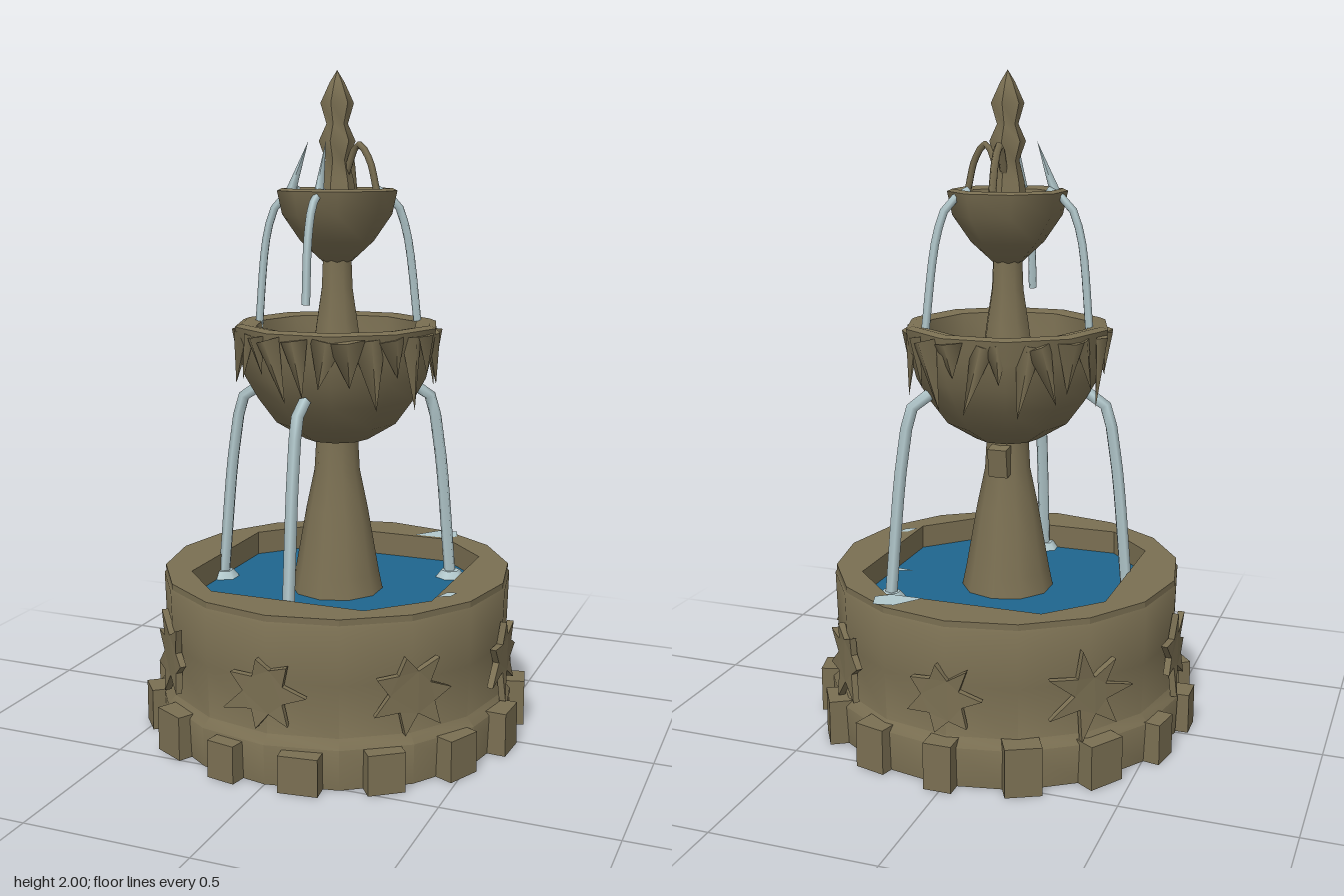
import * as THREE from 'three';
import { toCreasedNormals } from 'three/addons/utils/BufferGeometryUtils.js';

const mat = (name, color, side = THREE.FrontSide) => {
  const m = new THREE.MeshStandardMaterial({ color, side });
  m.name = name;
  return m;
};

export function createModel() {
  const stone = mat('stone', 0x7a6f52);
  const deep = mat('deep water', 0x1f668e);
  const pale = mat('pale water', 0x8cc9c3);
  const spray = mat('spray', 0xb3c9cd, THREE.DoubleSide);
  const model = new THREE.Group();

  let seed = 7;
  const rnd = (a, b) => {
    seed = (seed * 16807) % 2147483647;
    return a + (b - a) * (seed / 2147483647);
  };
  const add = (name, geo, material, parent = model) => {
    const m = new THREE.Mesh(geo, material);
    m.name = name;
    parent.add(m);
    return m;
  };
  const group = (name) => {
    const g = new THREE.Group();
    g.name = name;
    model.add(g);
    return g;
  };
  const lathe = (name, pts, sides, turn = 0) => {
    const g = new THREE.LatheGeometry(pts.map(([x, y]) => new THREE.Vector2(x, y)), sides);
    return add(name, toCreasedNormals(g.rotateY(turn), 0.85), stone);
  };
  const pool = (name, r, y, sides, turn, material) => {
    const g = new THREE.CircleGeometry(r, sides).rotateX(-Math.PI / 2).rotateY(turn);
    add(name, g.translate(0, y, 0), material);
  };

  // Lower basin: wall with hollow underside
  lathe('basinWall', [[0, 0.4], [0.14, 0.33], [0.42, 0.29], [0.43, 0], [0.55, 0],
    [0.555, 0.12], [0.53, 0.145], [0.535, 0.3], [0.54, 0.47], [0.525, 0.49]], 16);

  // Rim with an eight-cornered opening
  const rim = new THREE.Shape();
  for (let i = 0; i < 16; i++) {
    const a = (i / 16) * Math.PI * 2;
    rim[i ? 'lineTo' : 'moveTo'](Math.cos(a) * 0.535, Math.sin(a) * 0.535);
  }
  const hole = [[0.39, -0.24], [0.39, 0.24], [0.24, 0.395], [-0.24, 0.395],
    [-0.385, 0.24], [-0.385, -0.24], [-0.24, -0.395], [0.24, -0.395]];
  rim.holes.push(new THREE.Path(hole.map(([x, y]) => new THREE.Vector2(x, y))));
  add('basinRim', new THREE.ExtrudeGeometry(rim, { depth: 0.14, bevelEnabled: false })
    .rotateX(-Math.PI / 2).translate(0, 0.355, 0), stone);
  pool('basinWater', 0.47, 0.42, 16, 0, deep);

  // Rough stones around the foot
  const foot = group('footStones');
  for (let i = 0; i < 15; i++) {
    const a = (i / 15) * Math.PI * 2 + 0.2;
    const h = rnd(0.11, 0.15);
    const b = add('footStone', new THREE.BoxGeometry(rnd(0.08, 0.12), h, 0.09), stone, foot);
    b.position.set(Math.sin(a) * 0.545, h / 2, Math.cos(a) * 0.545);
    b.rotation.y = a + rnd(-0.2, 0.2);
  }

  // Ragged leaf ornaments on the basin wall
  const ornaments = group('wallOrnaments');
  for (let k = 0; k < 8; k++) {
    const a = (k / 8) * Math.PI * 2;
    const s = new THREE.Shape();
    for (let i = 0; i < 14; i++) {
      const t = (i / 14) * Math.PI * 2;
      const r = i % 2 ? rnd(0.05, 0.075) : rnd(0.1, 0.145);
      s[i ? 'lineTo' : 'moveTo'](Math.cos(t) * r, Math.sin(t) * r);
    }
    const g = new THREE.ExtrudeGeometry(s, { depth: 0.02, bevelEnabled: false });
    // Curl the outline around the wall, tips lifted
    const p = g.attributes.position;
    for (let i = 0; i < p.count; i++) {
      const x = p.getX(i), y = p.getY(i);
      const r = 0.523 + p.getZ(i) + 0.12 * Math.hypot(x, y);
      const t = a + x / 0.54;
      p.setXYZ(i, Math.sin(t) * r, 0.27 + y, Math.cos(t) * r);
    }
    g.computeVertexNormals();
    add('leafOrnament', g, stone, ornaments);
  }

  // Lower column and its small bracket
  lathe('lowerColumn', [[0.155, 0.36], [0.13, 0.48], [0.095, 0.68], [0.07, 0.8], [0.062, 0.94]], 10);
  const bracket = add('columnBracket', new THREE.BoxGeometry(0.06, 0.09, 0.06), stone);
  bracket.position.set(0, 0.84, -0.065);
  bracket.rotation.x = -0.15;

  // Middle bowl
  lathe('middleBowl', [[0, 0.89], [0.1, 0.9], [0.19, 0.955], [0.245, 1.03], [0.285, 1.1], [0.305, 1.18],
    [0.315, 1.25], [0.295, 1.258], [0.25, 1.25], [0.235, 1.14], [0, 1.14]], 10, Math.PI / 10);
  pool('middleWater', 0.24, 1.17, 10, Math.PI / 10, deep);

  // Ragged hanging leaves below the middle rim
  const fringe = group('hangingLeaves');
  for (let i = 0; i < 26; i++) {
    const a = (i / 26) * Math.PI * 2;
    const len = rnd(0.1, 0.22);
    const g = new THREE.ConeGeometry(rnd(0.035, 0.055), len, 4).rotateX(Math.PI);
    const leaf = add('hangingLeaf', g.scale(1, 1, 0.5), stone, fringe);
    leaf.position.set(Math.sin(a) * 0.3, 1.235 - len / 2, Math.cos(a) * 0.3);
    leaf.rotation.set(rnd(-0.15, 0.1), a, rnd(-0.3, 0.3), 'YXZ');
  }

  // Upper column, top bowl and finial
  lathe('upperColumn', [[0.085, 1.13], [0.066, 1.26], [0.05, 1.36], [0.045, 1.48]], 8);
  lathe('topBowl', [[0, 1.42], [0.045, 1.44], [0.11, 1.5], [0.165, 1.58], [0.18, 1.65],
    [0.165, 1.657], [0.135, 1.648], [0.12, 1.6], [0, 1.6]], 8, Math.PI / 8);
  pool('topWater', 0.135, 1.625, 8, Math.PI / 8, pale);
  lathe('finial', [[0.062, 1.6], [0.05, 1.68], [0.035, 1.74], [0.055, 1.795], [0.032, 1.845],
    [0.05, 1.905], [0.022, 1.965], [0, 2]], 6);

  // Bent ribbons: spouts and falling water
  const ribbon = (name, pts, r, material, parent) => {
    const curve = new THREE.CatmullRomCurve3(pts.map((p) => new THREE.Vector3(...p)));
    return add(name, new THREE.TubeGeometry(curve, 10, r, 5), material, parent);
  };
  const spouts = group('spouts');
  ribbon('spout', [[0.03, 1.7, 0], [0.075, 1.785, 0.02], [0.115, 1.74, 0.035], [0.14, 1.65, 0.04]], 0.011, stone, spouts);
  ribbon('spout', [[0, 1.7, -0.03], [0, 1.785, -0.075], [0, 1.74, -0.11], [0, 1.65, -0.135]], 0.012, stone, spouts);
  for (const a of [0, -Math.PI / 2 + 0.2]) {
    const jet = add('topSpray', new THREE.ConeGeometry(0.016, 0.16, 4), spray, spouts);
    jet.position.set(Math.sin(a) * 0.115, 1.72, Math.cos(a) * 0.115);
    jet.rotation.set(-0.35, a, 0, 'YXZ');
  }

  // Falls by direction: [angle, upper reach, upper end height]
  const falls = group('waterfalls');
  for (const [a, reach, end] of [[0, 0.24, 1.33], [-Math.PI / 2 + 0.08, 0.255, 1.2], [2.25, 0.265, 1.2]]) {
    const at = (r, y) => [Math.sin(a) * r, y, Math.cos(a) * r];
    ribbon('upperFall', [at(0.12, 1.655), at(0.185, 1.615), at(0.22, 1.53), at(reach, end)], 0.013, spray, falls);
    ribbon('lowerFall', [at(0.25, 1.05), at(0.3, 1.02), at(0.335, 0.87), at(0.38, 0.42)], 0.019, spray, falls);
    const splash = add('splash', new THREE.CylinderGeometry(0.03, 0.05, 0.025, 6), spray, falls);
    splash.position.set(...at(0.38, 0.43));
  }

  // Loose wet patches on the pool and rim
  const patch = (name, pts, y) => {
    const s = new THREE.Shape(pts.map(([x, z]) => new THREE.Vector2(x, -z)));
    add(name, new THREE.ShapeGeometry(s).rotateX(-Math.PI / 2).translate(0, y, 0), spray);
  };
  patch('poolRipple', [[0.32, 0], [0.39, -0.02], [0.39, 0.01]], 0.425);
  patch('rimPatch', [[0.12, -0.4], [0.18, -0.48], [0.24, -0.49], [0.26, -0.43], [0.22, -0.4]], 0.498);
  patch('rimDrop', [[0.395, 0.21], [0.41, 0.16], [0.44, 0.15], [0.43, 0.19]], 0.498);
  return model;
}
